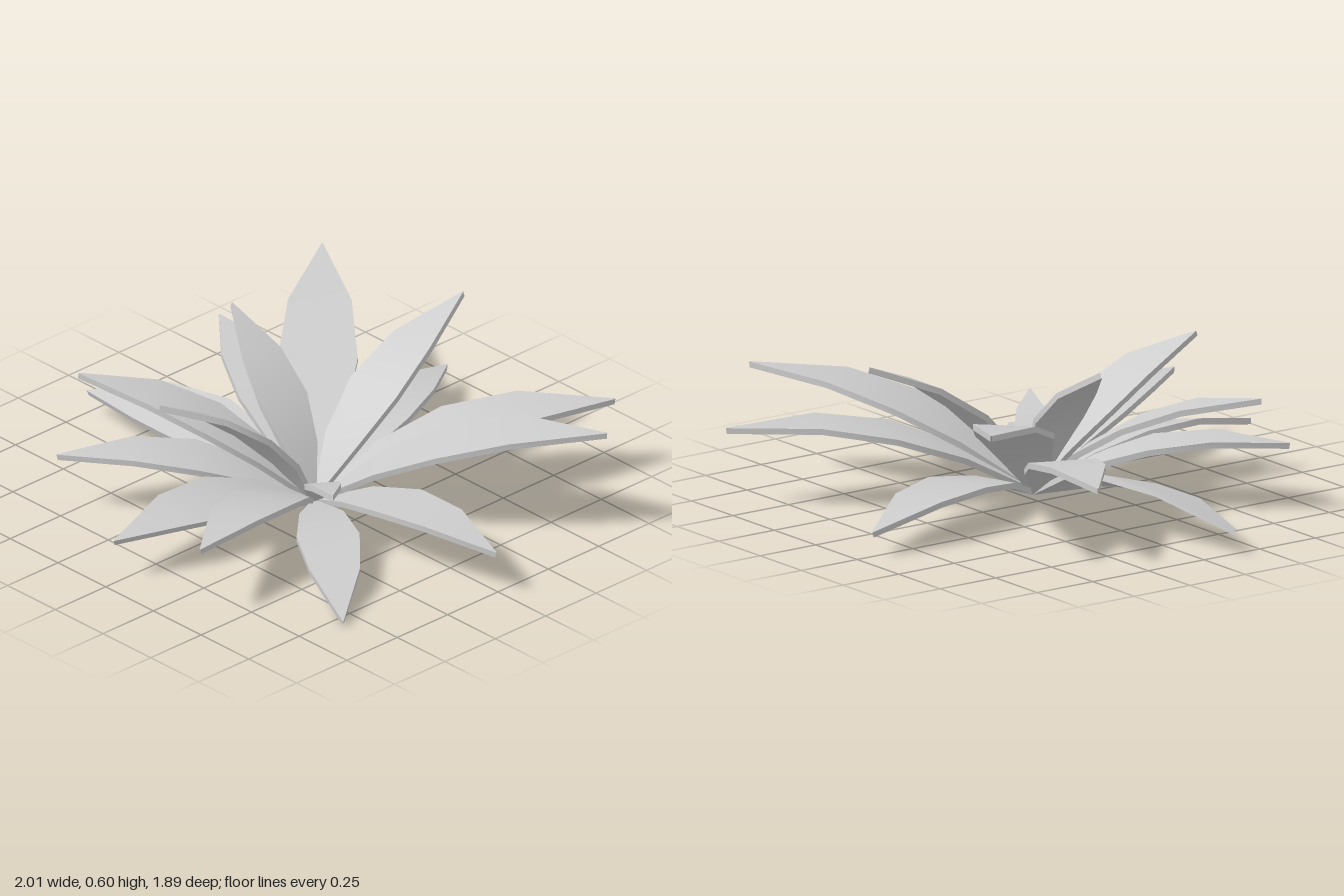
import * as THREE from 'three';

const BASE = new THREE.Vector3(0.07, 0.02, 0.03);
const UP = new THREE.Vector3(0, 1, 0);
const THICKNESS = 0.022;
// position along the leaf and half width, both relative to leaf length
const SECTIONS = [[0, 0.002], [0.25, 0.088], [0.48, 0.125], [0.72, 0.1], [1, 0.002]];

// leaf tips: x, y, z, roll about the leaf's own length
const LEAVES = [
  // low outer ring
  [-0.25, 0.09, -0.93, 0], [-1.0, 0.09, 0.14, 0.3], [1.0, 0.165, 0.01, 0],
  [0.8, 0.02, 0.58, 0], [-0.02, 0.16, 0.94, 0.25], [-0.55, 0.22, 0.72, 0],
  // middle ring
  [0.62, 0.29, -0.94, 0], [-0.83, 0.285, -0.35, 0], [0.39, 0.27, 0.9, 0],
  [0.95, 0.41, -0.59, 0], [-0.65, 0.44, 0.52, 0], [-0.67, 0.505, -0.71, 0],
  // steep inner leaves
  [0.07, 0.6, -0.71, 0], [-0.46, 0.59, -0.06, 0], [-0.11, 0.56, 0.63, -0.3], [0.44, 0.28, 0.29, 0],
];

// arched leaf blade with a thin rim, swept from base to tip
function leafGeometry(x, y, z, roll) {
  const chord = new THREE.Vector3(x, y - 0.005, z).sub(BASE);
  const length = chord.length();
  const dir = chord.clone().normalize();
  const flatSide = dir.clone().cross(UP).normalize();
  const side = flatSide.clone().applyAxisAngle(dir, -roll);
  const rise = flatSide.clone().cross(dir);

  // corner rows: left/right edge, upper/lower face
  const rows = { lt: [], rt: [], lb: [], rb: [] };
  for (const [t, w] of SECTIONS) {
    const mid = BASE.clone().addScaledVector(chord, t).addScaledVector(rise, 0.4 * length * t * (1 - t));
    const tangent = dir.clone().addScaledVector(rise, 0.4 * (1 - 2 * t)).normalize();
    const normal = side.clone().cross(tangent).normalize();
    const corner = (s, n) => mid.clone().addScaledVector(side, s * w * length)
      .addScaledVector(normal, n * THICKNESS / 2);
    rows.lt.push(corner(-1, 1));
    rows.rt.push(corner(1, 1));
    rows.lb.push(corner(-1, -1));
    rows.rb.push(corner(1, -1));
  }

  // separate strips keep the rim sharp while each face shades smoothly
  const points = [], index = [];
  const strip = (p, q) => {
    const start = points.length;
    p.forEach((v, i) => {
      points.push(v, q[i]);
      if (i === 0) return;
      const a = start + 2 * (i - 1);
      index.push(a, a + 1, a + 3, a, a + 3, a + 2);
    });
  };
  strip(rows.lt, rows.rt);
  strip(rows.rb, rows.lb);
  strip(rows.rt, rows.rb);
  strip(rows.lb, rows.lt);

  const geometry = new THREE.BufferGeometry().setFromPoints(points);
  geometry.setIndex(index);
  geometry.computeVertexNormals();
  return geometry;
}

export function createModel() {
  const plant = new THREE.Group();
  plant.name = 'leafRosette';
  const material = new THREE.MeshStandardMaterial({ color: 0xcccccc });
  LEAVES.forEach((leaf, i) => {
    const mesh = new THREE.Mesh(leafGeometry(...leaf), material);
    mesh.name = `leaf${i + 1}`;
    plant.add(mesh);
  });
  return plant;
}
